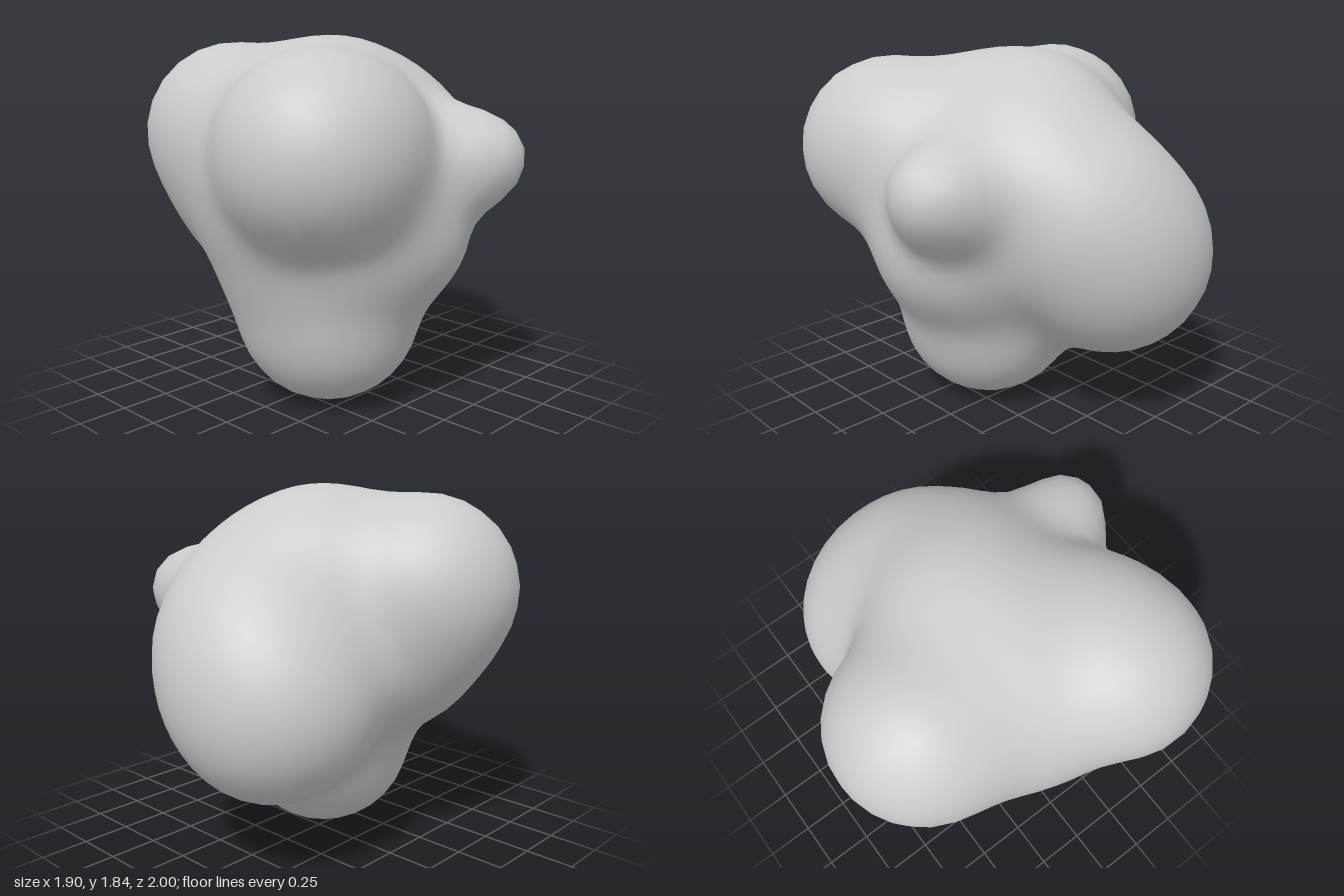
import * as THREE from 'three';
import { mergeVertices } from 'three/addons/utils/BufferGeometryUtils.js';

// Lobes of the blob: centre x, y, z and radius
const LOBES = [
  [0.0, 1.0, 0.1, 0.5],        // core
  [-0.48, 1.34, 0.24, 0.47],   // upper right lobe
  [-0.34, 1.01, 0.22, 0.38],   // its underside
  [0.41, 1.33, 0.54, 0.46],    // upper front lobe
  [0.33, 1.3, 0.25, 0.41],     // its link to the crown
  [0.06, 1.02, 0.41, 0.36],    // its underside
  [-0.05, 1.28, 0.35, 0.42],   // saddle between the upper lobes
  [0.0, 1.34, 0.06, 0.47],     // crown
  [0.0, 1.35, -0.15, 0.42],    // back of the crown
  [0.2, 1.25, -0.28, 0.36],    // left of the crown
  [-0.16, 0.87, -0.48, 0.51],  // back lobe
  [0.02, 1.08, -0.47, 0.44],   // back shoulder
  [0.1, 0.47, 0.14, 0.47],     // foot
  [0.09, 0.82, 0.24, 0.41],    // column above the foot
  [0.4, 0.93, 0.03, 0.4],      // left flank
  [0.56, 1.25, -0.2, 0.21],    // neck of the knob
  [0.77, 1.27, -0.25, 0.18],   // knob
];
const BLEND = 0.23;

// Distance to the softly joined lobes
function distance(p) {
  let d = Infinity;
  for (const [x, y, z, r] of LOBES) {
    const e = Math.hypot(p.x - x, p.y - y, p.z - z) - r;
    const h = Math.max(BLEND - Math.abs(d - e), 0) / BLEND;
    d = Math.min(d, e) - h * h * BLEND / 4;
  }
  return d;
}

// Outermost surface point along a direction from the centre
function surfacePoint(centre, dir) {
  const p = new THREE.Vector3();
  const at = (r) => distance(p.copy(centre).addScaledVector(dir, r));
  let outer = 1.6;
  while (outer > 0.05 && at(outer) > 0) outer -= 0.01;
  let inner = outer;
  outer += 0.01;
  for (let i = 0; i < 12; i++) {
    const mid = (inner + outer) / 2;
    if (at(mid) > 0) outer = mid; else inner = mid;
  }
  at(inner);
  return p;
}

export function createModel() {
  const group = new THREE.Group();
  group.name = 'blob';

  let geometry = new THREE.IcosahedronGeometry(1, 11);
  geometry.deleteAttribute('normal');
  geometry.deleteAttribute('uv');
  geometry = mergeVertices(geometry, 1e-4);

  // Push every vertex out to the surface of the joined lobes
  const centre = new THREE.Vector3(0.08, 1.0, 0.03);
  const pos = geometry.attributes.position;
  const dir = new THREE.Vector3();
  for (let i = 0; i < pos.count; i++) {
    dir.fromBufferAttribute(pos, i).normalize();
    const p = surfacePoint(centre, dir);
    pos.setXYZ(i, p.x, p.y, p.z);
  }
  geometry.computeVertexNormals();

  const lightGrey = new THREE.MeshStandardMaterial({ color: 0xcccccc });
  lightGrey.name = 'lightGrey';
  const body = new THREE.Mesh(geometry, lightGrey);
  body.name = 'blobBody';
  group.add(body);
  return group;
}
